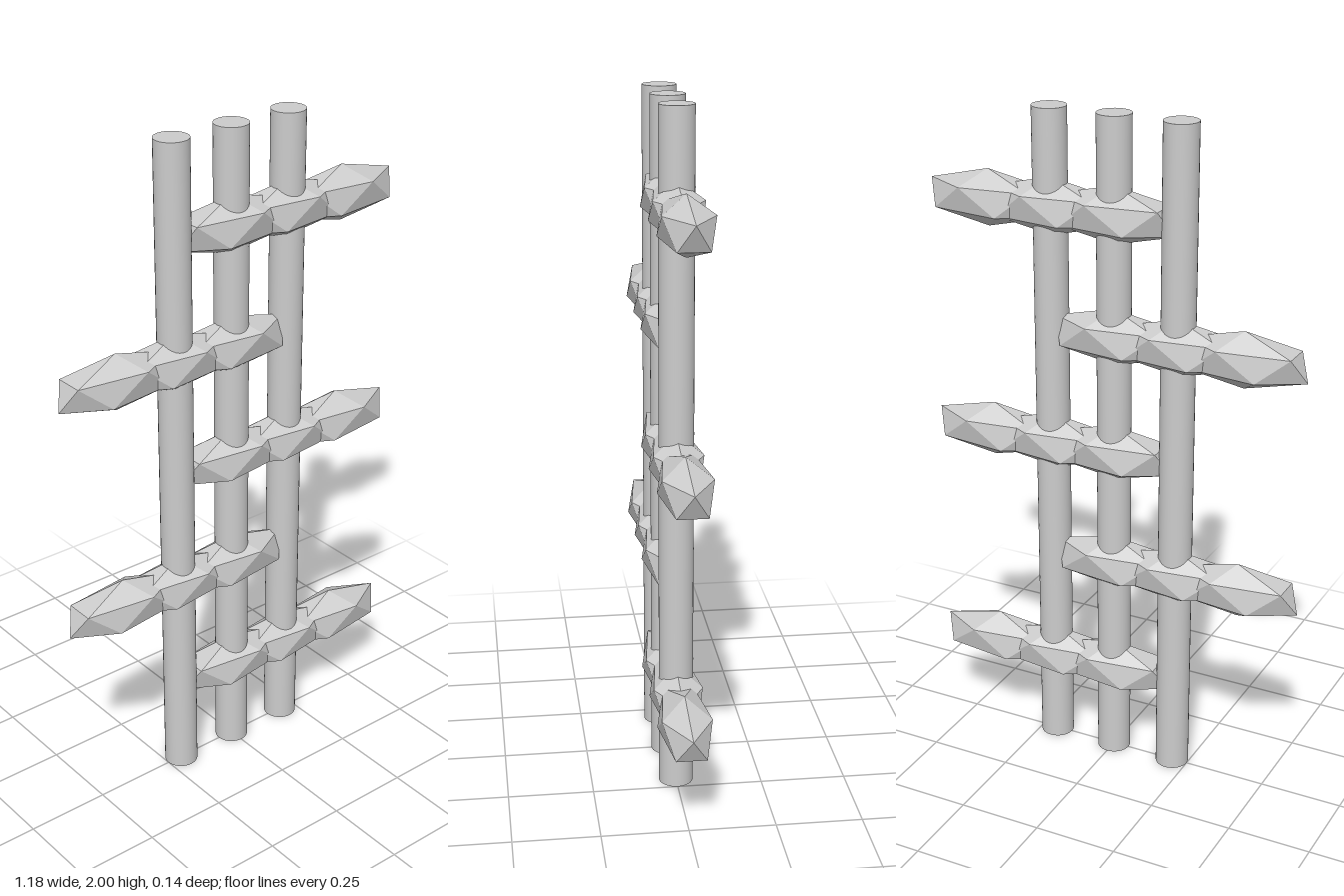
import * as THREE from 'three';

export function createModel() {
  const group = new THREE.Group();
  const grey = new THREE.MeshStandardMaterial({ color: 0xcccccc });
  grey.name = 'light grey';

  // Three upright poles
  const poleGeometry = new THREE.CylinderGeometry(0.05, 0.05, 2, 32);
  for (const x of [-0.2, 0, 0.2]) {
    const pole = new THREE.Mesh(poleGeometry, grey);
    pole.name = 'pole';
    pole.position.set(x, 1, 0);
    group.add(pole);
  }

  // Faceted stone: icosahedron standing on a corner, stretched along x
  const stoneGeometry = new THREE.IcosahedronGeometry(0.084, 0);
  stoneGeometry.rotateX(-Math.atan((1 + Math.sqrt(5)) / 2));
  stoneGeometry.rotateY(Math.PI / 2);
  stoneGeometry.scale(2.5, 1, 1);

  // Five rungs of three overlapping stones, alternating right and left
  for (let i = 0; i < 5; i++) {
    const rung = new THREE.Group();
    rung.name = 'rung';
    rung.position.set(i % 2 ? -0.2 : 0.2, 0.286 + i * 0.357, 0);
    for (const x of [-0.2, 0, 0.2]) {
      const stone = new THREE.Mesh(stoneGeometry, grey);
      stone.name = 'stone';
      stone.position.x = x;
      rung.add(stone);
    }
    group.add(rung);
  }
  return group;
}
